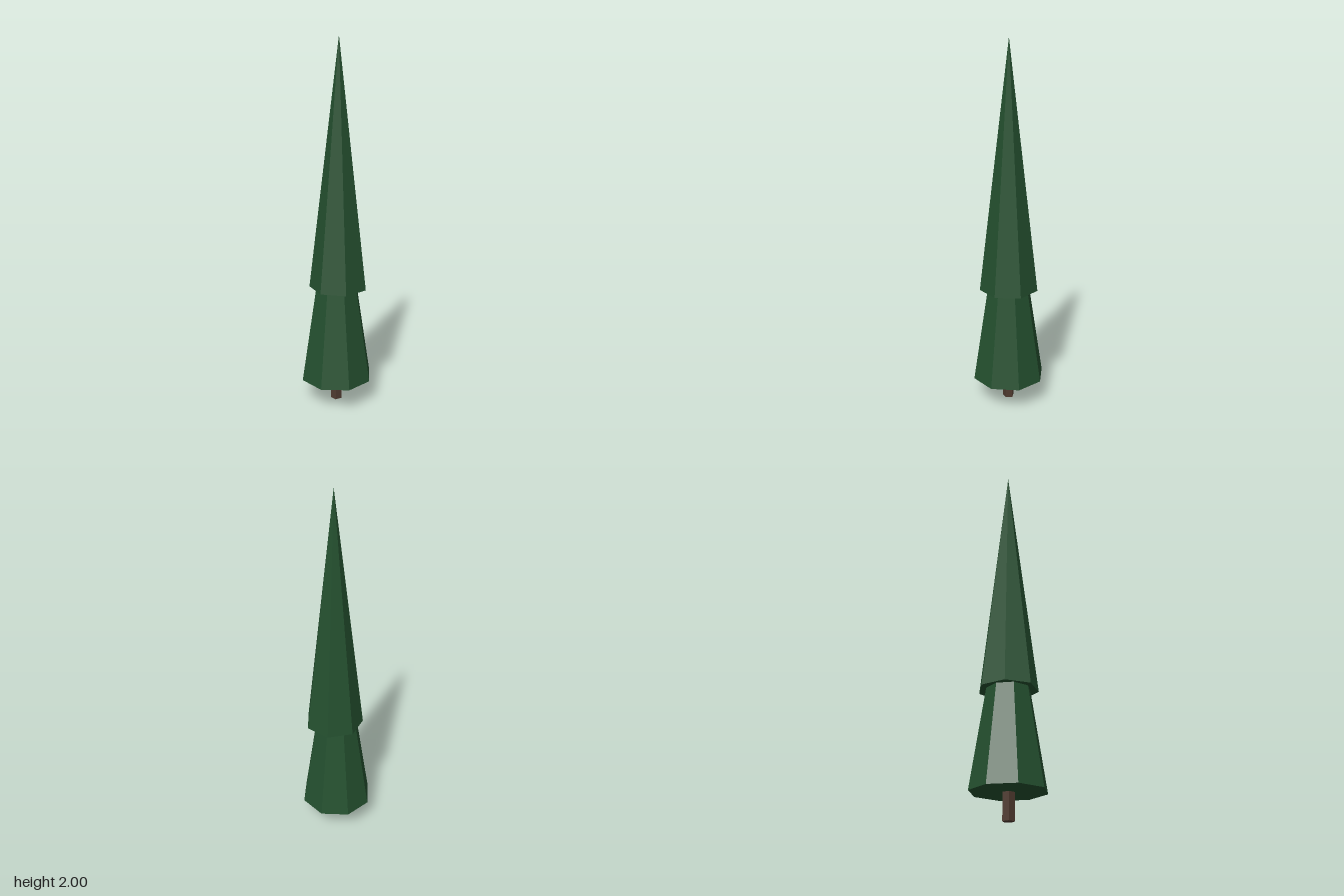
import * as THREE from 'three';

export function createModel() {
  const tree = new THREE.Group();
  tree.name = 'tree';

  const needles = new THREE.MeshStandardMaterial({ color: 0x24502f, flatShading: true });
  needles.name = 'needle green';
  const bark = new THREE.MeshStandardMaterial({ color: 0x503b30, flatShading: true });
  bark.name = 'bark brown';

  // Faceted solid from y0 to y1 with one corner pointing to +x
  function addPart(name, material, sides, rBottom, rTop, y0, y1, x = 0, z = 0) {
    const geometry = rTop > 0
      ? new THREE.CylinderGeometry(rTop, rBottom, y1 - y0, sides, 1, false, Math.PI / 2)
      : new THREE.ConeGeometry(rBottom, y1 - y0, sides, 1, false, Math.PI / 2);
    const mesh = new THREE.Mesh(geometry, material);
    mesh.name = name;
    mesh.position.set(x, (y0 + y1) / 2, z);
    tree.add(mesh);
  }

  // Five-sided trunk, reaching a little into the foliage
  addPart('trunk', bark, 5, 0.032, 0.032, 0, 0.2);

  // Two stacked foliage cones, the upper one slightly off centre
  addPart('lowerFoliage', needles, 8, 0.2, 0, 0.14, 1.42);
  addPart('upperFoliage', needles, 7, 0.16, 0, 0.67, 2, 0.01, -0.008);

  return tree;
}
